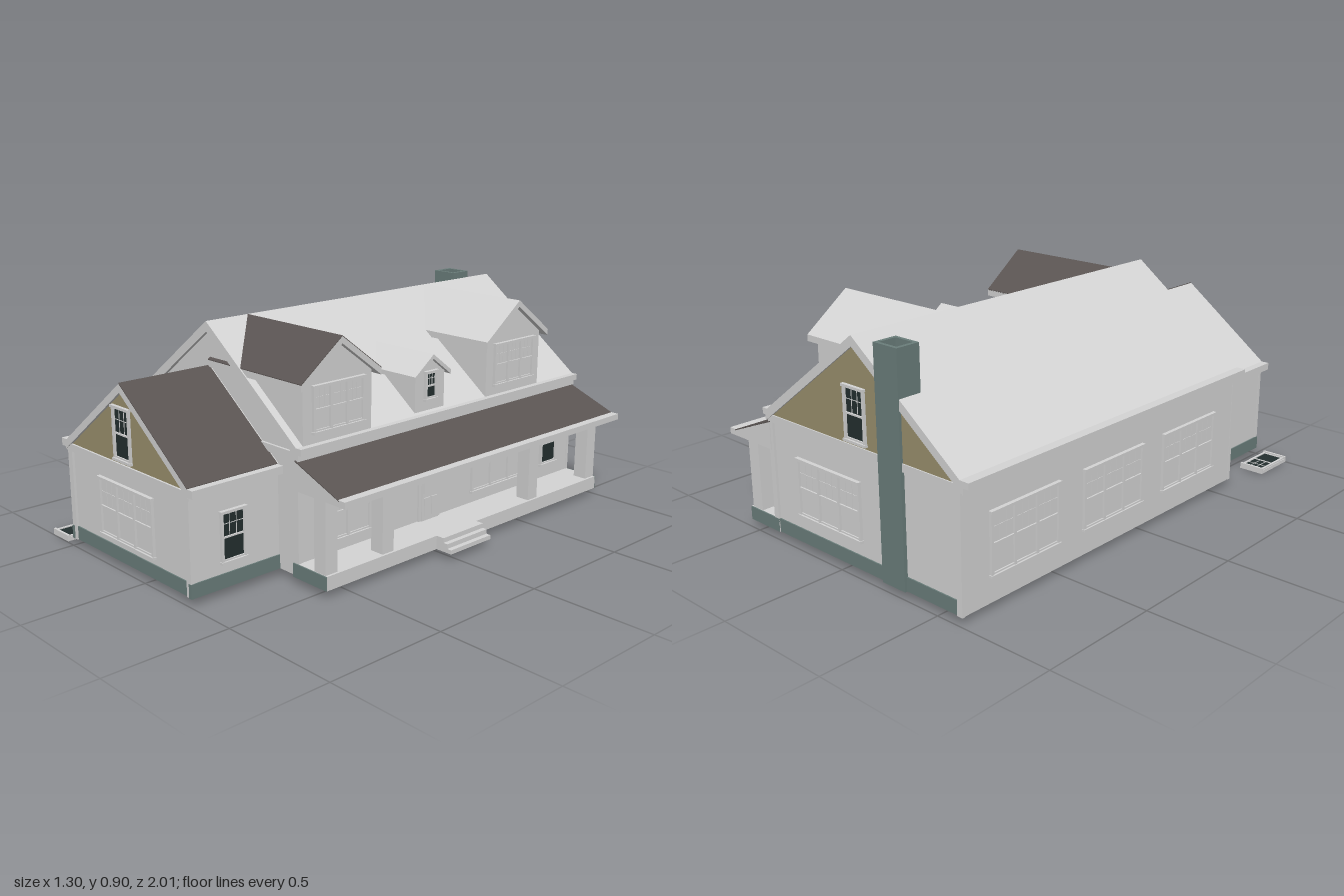
import * as THREE from 'three';

const paint = (name, color) => {
  const m = new THREE.MeshStandardMaterial({ color });
  m.name = name;
  return m;
};

export function createModel() {
  const house = new THREE.Group();
  house.name = 'house';
  const grey = paint('light grey', 0xd4d4d4);
  const dark = paint('dark shingle', 0x5b5553);
  const green = paint('slate green', 0x6b7e7b);
  const olive = paint('olive siding', 0x9a906d);
  const glass = paint('dark glass', 0x232f2f);

  const add = (parent, name, geo, mat) => {
    const m = new THREE.Mesh(geo, mat);
    m.name = name;
    parent.add(m);
    return m;
  };
  // Box given by its limits
  const box = (name, mat, x0, x1, y0, y1, z0, z1, parent = house) => {
    const geo = new THREE.BoxGeometry(x1 - x0, y1 - y0, z1 - z0);
    geo.translate((x0 + x1) / 2, (y0 + y1) / 2, (z0 + z1) / 2);
    return add(parent, name, geo, mat);
  };
  // Outline in xy, extruded along z
  const prism = (name, mat, pts, z0, z1, parent = house) => {
    const shape = new THREE.Shape(pts.map(p => new THREE.Vector2(p[0], p[1])));
    const geo = new THREE.ExtrudeGeometry(shape, { depth: z1 - z0, bevelEnabled: false });
    geo.translate(0, 0, z0);
    return add(parent, name, geo, mat);
  };
  // Two sloping slabs meeting at a ridge
  const SLOPE = 0.75;
  const chevron = (cx, ridge, xl, xr, t) => {
    const y = x => ridge - SLOPE * Math.abs(x - cx);
    return [[xl, y(xl)], [xl, y(xl) - t], [cx, ridge - t], [xr, y(xr) - t], [xr, y(xr)], [cx, ridge]];
  };
  const gableWall = (cx, ridge, xl, xr, y0) => {
    const y = x => ridge - SLOPE * Math.abs(x - cx);
    return [[xl, y0], [xr, y0], [xr, y(xr)], [cx, ridge], [xl, y(xl)]];
  };

  // Sash windows in a shared casing, centred on the origin and facing +z
  const makeWindow = (name, n, w, h, pane, d = 0.012) => {
    const g = new THREE.Group();
    g.name = name;
    const f = 0.01, pw = (w - f) / n, hw = w / 2, hh = h / 2;
    box('sill', grey, -hw - 0.003, hw + 0.003, -hh, -hh + f, 0, d + 0.004, g);
    box('headCasing', grey, -hw - 0.003, hw + 0.003, hh - f, hh, 0, d + 0.004, g);
    for (let i = 0; i <= n; i++) box('upright', grey, -hw + i * pw, -hw + i * pw + f, -hh + f, hh - f, 0, d, g);
    for (let i = 0; i < n; i++) {
      const a = -hw + i * pw + f, b = a + pw - f, s = 0.006;
      box('pane', pane, a, b, -hh + f, hh - f, 0, 0.003, g);
      box('meetingRail', grey, a, b, -s / 2, s / 2, 0, d * 0.8, g);
      box('lowerSash', grey, a, b, -hh + f, -hh + f + s, 0, d * 0.7, g);
      // Glazing bars in the upper sash
      for (let k = 1; k < 3; k++) {
        const x = a + (b - a) * k / 3;
        box('verticalBar', grey, x - 0.001, x + 0.001, 0, hh - f, 0, 0.005, g);
      }
      box('crossBar', grey, a, b, hh / 2 - 0.002, hh / 2, 0, 0.005, g);
    }
    house.add(g);
    return g;
  };
  const place = (g, x, y, z, turn = 0) => {
    g.position.set(x, y, z);
    g.rotation.y = turn;
  };
  const R = Math.PI / 2, CX = -0.108;

  // Main block
  prism('mainWalls', grey, gableWall(CX, 0.885, -0.61, 0.4, 0.03), -0.985, 0.595);
  prism('mainRoof', grey, chevron(CX, 0.905, -0.63, 0.41, 0.04), -0.997, 0.61);
  box('leftGutter', grey, -0.655, -0.61, 0.5, 0.525, -0.997, 0.61);
  box('rightGutter', grey, 0.4, 0.425, 0.5, 0.525, -0.997, 0.61);
  prism('backGable', olive, [[-0.588, 0.505], [0.372, 0.505], [CX, 0.865]], -0.989, -0.98);
  for (const [z0, z1] of [[-0.994, -0.98], [0.59, 0.605]]) {
    box('gableBand', grey, -0.615, 0.402, 0.475, 0.505, z0, z1);
    box('cornerBoard', grey, -0.613, -0.588, 0.03, 0.48, z0, z1);
    box('cornerBoard', grey, 0.375, 0.402, 0.03, 0.48, z0, z1);
  }
  box('backBase', green, -0.588, 0.375, 0.03, 0.085, -0.99, -0.98);
  box('frontBase', green, -0.588, -0.49, 0.03, 0.085, 0.59, 0.6);

  // Front wing
  prism('wingWalls', grey, gableWall(CX, 0.715, -0.5, 0.28, 0.03), 0.55, 0.985);
  prism('wingRoof', grey, chevron(CX, 0.733, -0.51, 0.285, 0.034), 0.55, 1);
  const wingY = 0.735 - SLOPE * 0.393;
  prism('wingShingles', dark, [[CX, 0.732], [0.285, wingY - 0.003], [0.285, wingY], [CX, 0.736]], 0.6, 1);
  box('wingLeftGutter', grey, -0.535, -0.495, 0.408, 0.438, 0.6, 1);
  box('wingRightGutter', grey, 0.278, 0.315, 0.408, 0.438, 0.6, 1);
  prism('frontGable', olive, [[-0.473, 0.425], [0.257, 0.425], [CX, 0.7]], 0.98, 0.989);
  box('wingBand', grey, -0.51, 0.29, 0.395, 0.425, 0.98, 0.997);
  box('wingSideBand', grey, -0.506, 0.286, 0.395, 0.42, 0.6, 0.99);
  box('wingCornerBoard', grey, -0.503, -0.475, 0.03, 0.4, 0.98, 0.995);
  box('wingCornerBoard', grey, 0.255, 0.282, 0.03, 0.4, 0.98, 0.995);
  box('wingFrontBase', green, -0.475, 0.255, 0.03, 0.085, 0.98, 0.99);
  box('wingSideBase', green, -0.505, -0.49, 0.03, 0.085, 0.595, 0.997);
  box('wingSideBase', green, 0.27, 0.285, 0.03, 0.085, 0.595, 0.997);

  // Porch along the right side
  box('porchFloor', grey, 0.375, 0.555, 0.03, 0.085, -0.99, 0.605);
  box('porchEnd', green, 0.375, 0.553, 0.03, 0.084, 0.603, 0.61);
  box('porchEnd', green, 0.375, 0.553, 0.03, 0.084, -0.995, -0.988);
  prism('porchRoof', grey, [[0.39, 0.365], [0.62, 0.365], [0.62, 0.385], [0.39, 0.474]], -0.997, 0.61);
  prism('porchShingles', dark, [[0.39, 0.473], [0.62, 0.384], [0.62, 0.388], [0.39, 0.478]], -0.997, 0.61);
  box('porchGutter', grey, 0.615, 0.65, 0.365, 0.39, -0.997, 0.61);
  for (const z of [0.575, 0.292, -0.56, -0.96])
    box('porchColumn', grey, 0.485, 0.545, 0.085, 0.366, z - 0.029, z + 0.029);
  [[0.59, 0.085], [0.61, 0.066], [0.63, 0.047]].forEach(([x, y]) =>
    box('step', grey, 0.55, x, 0.03, y, -0.193, 0.037));

  // Dormers on the right slope, drawn facing +z and turned to face +x
  const dormer = (name, z, ridge, wallHalf, roofHalf, back, wallX, roofX, t, shingled) => {
    const g = new THREE.Group();
    g.name = name;
    g.position.z = z;
    g.rotation.y = R;
    prism('dormerWalls', grey, gableWall(0, ridge - t * 0.6, -wallHalf, wallHalf, 0.5), 0.05, wallX, g);
    prism('dormerRoof', grey, chevron(0, ridge - (shingled ? 0.003 : 0), -roofHalf, roofHalf, t), back, roofX, g);
    if (shingled) prism('dormerShingles', dark, chevron(0, ridge, -roofHalf, roofHalf, 0.005), back, roofX, g);
    house.add(g);
  };
  dormer('frontDormer', 0.41, 0.905, 0.168, 0.195, CX, 0.4, 0.425, 0.026, true);
  dormer('backDormer', -0.577, 0.905, 0.168, 0.195, CX, 0.4, 0.425, 0.026, false);
  dormer('smallDormer', -0.085, 0.755, 0.082, 0.1, 0.05, 0.39, 0.408, 0.018, false);
  for (const z of [0.41, -0.577]) place(makeWindow('dormerWindow', 3, 0.25, 0.18, grey), 0.4, 0.65, z, R);
  place(makeWindow('smallDormerWindow', 1, 0.068, 0.12, glass), 0.39, 0.63, -0.085, R);

  // Chimney, hollow at the top
  const stack = new THREE.Shape([[-0.34, 0.9], [-0.225, 0.9], [-0.225, 1], [-0.34, 1]].map(p => new THREE.Vector2(...p)));
  stack.holes.push(new THREE.Path([[-0.325, 0.914], [-0.325, 0.986], [-0.24, 0.986], [-0.24, 0.914]].map(p => new THREE.Vector2(...p))));
  const stackGeo = new THREE.ExtrudeGeometry(stack, { depth: 0.875, bevelEnabled: false });
  stackGeo.rotateX(-R);
  stackGeo.translate(0, 0.03, 0);
  add(house, 'chimney', stackGeo, green);
  box('flue', glass, -0.33, -0.235, 0.031, 0.82, -0.99, -0.91);

  // Windows
  place(makeWindow('frontWindow', 3, 0.35, 0.235, grey), -0.118, 0.225, 0.985);
  place(makeWindow('frontGableWindow', 1, 0.11, 0.21, glass), -0.115, 0.54, 0.987);
  place(makeWindow('wingSideWindow', 1, 0.112, 0.2, glass), 0.28, 0.222, 0.808, R);
  place(makeWindow('backWindow', 3, 0.35, 0.235, grey), 0.065, 0.255, -0.985, Math.PI);
  place(makeWindow('backGableWindow', 1, 0.11, 0.21, glass), -0.105, 0.62, -0.987, Math.PI);
  for (const z of [-0.685, -0.2, 0.28]) place(makeWindow('leftWindow', 3, 0.35, 0.245, grey), -0.61, 0.25, z, -R);
  for (const z of [0.31, -0.505]) place(makeWindow('porchWindow', 3, 0.35, 0.225, grey), 0.4, 0.24, z, R);
  place(makeWindow('porchSideWindow', 1, 0.112, 0.2, glass), 0.4, 0.24, -0.84, R);

  // Front door on the porch
  const door = new THREE.Group();
  door.name = 'door';
  box('doorCasing', grey, -0.062, 0.062, 0.085, 0.35, 0, 0.008, door);
  box('doorLeaf', grey, -0.047, 0.047, 0.085, 0.335, 0, 0.012, door);
  box('upperPanel', grey, -0.04, 0.04, 0.2, 0.32, 0, 0.016, door);
  for (const s of [-1, 1]) box('lowerPanel', grey, s * 0.021 - 0.015, s * 0.021 + 0.015, 0.105, 0.18, 0, 0.016, door);
  house.add(door);
  place(door, 0.4, 0, -0.078, R);

  // Loose window lying on the ground
  box('looseFrame', grey, -0.655, -0.545, 0.002, 0.017, 0.8, 0.998);
  box('looseBackPane', glass, -0.643, -0.557, 0, 0.004, 0.812, 0.986);
  const loose = makeWindow('looseWindow', 1, 0.104, 0.198, glass, 0.007);
  loose.position.set(-0.6, 0.016, 0.899);
  loose.rotation.x = -R;
  return house;
}
